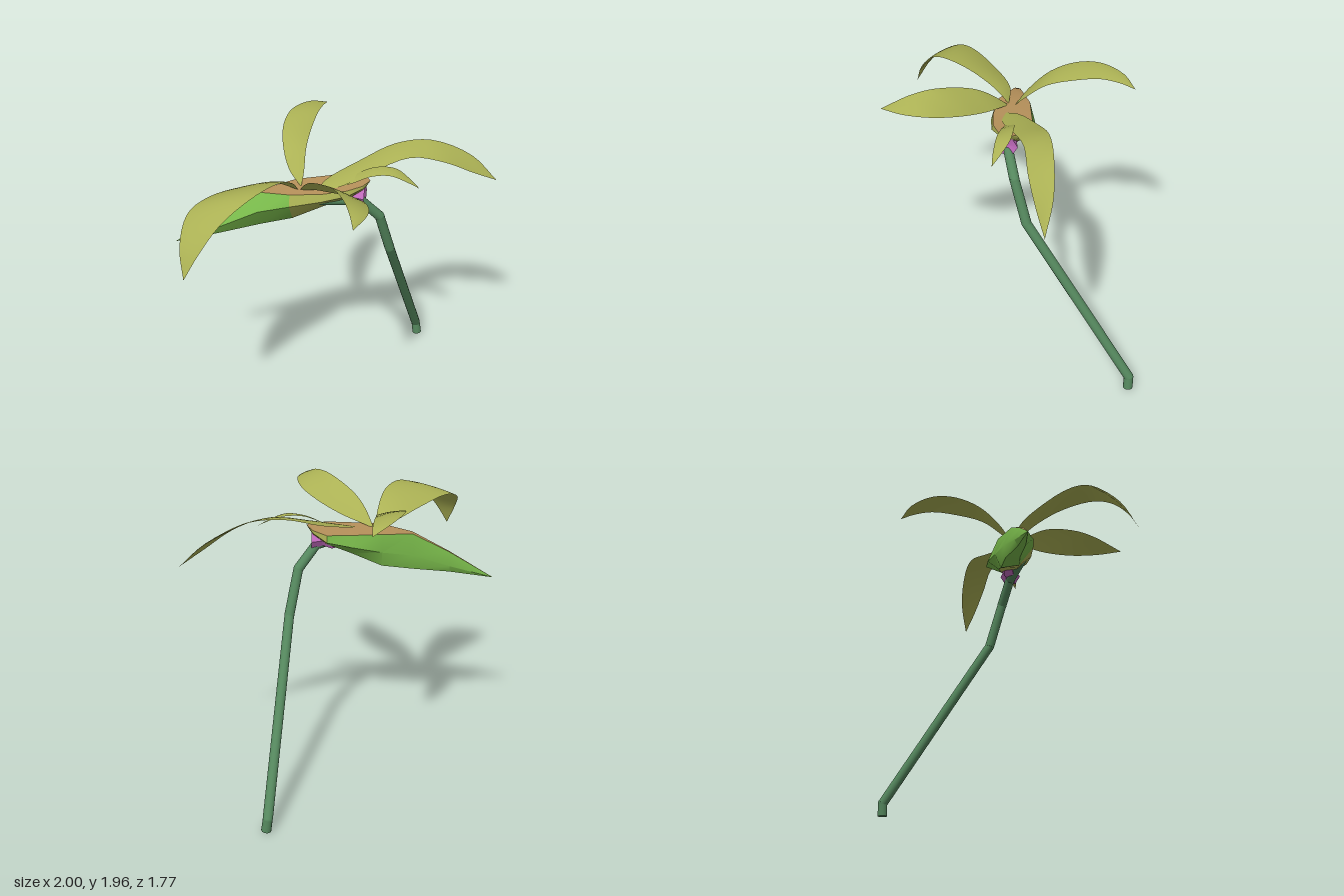
import * as THREE from 'three';
import { toCreasedNormals } from 'three/addons/utils/BufferGeometryUtils.js';

const material = (name, color, side = THREE.FrontSide) => {
  const m = new THREE.MeshStandardMaterial({ color, side });
  m.name = name;
  return m;
};
const V = (p) => new THREE.Vector3(...p);

// Surface from a list of points and triangle indices
function surface(points, index, crease) {
  const g = new THREE.BufferGeometry();
  g.setAttribute('position', new THREE.Float32BufferAttribute(points.flat(), 3));
  g.setIndex(index);
  g.computeVertexNormals();
  return crease ? toCreasedNormals(g, crease) : g;
}

// Curved petal lofted between two edges that share a base and a tip
function petalGeometry(base, tip, left, right) {
  const a = new THREE.CatmullRomCurve3([base, ...left, tip].map(V));
  const b = new THREE.CatmullRomCurve3([base, ...right, tip].map(V));
  const rows = 24, cols = 6, points = [], index = [];
  for (let i = 0; i <= rows; i++) {
    const p = a.getPoint(i / rows), q = b.getPoint(i / rows);
    const width = p.distanceTo(q);
    for (let j = 0; j <= cols; j++) {
      const s = j / cols, v = p.clone().lerp(q, s);
      v.y += width * 0.2 * s * (1 - s);
      points.push(v.toArray());
      if (i < rows && j < cols) {
        const k = i * (cols + 1) + j, n = k + cols + 1;
        index.push(k, n, k + 1, k + 1, n, n + 1);
      }
    }
  }
  return surface(points, index);
}

export function createModel() {
  const model = new THREE.Group();
  const olive = material('petal olive', 0xabb154, THREE.DoubleSide);
  const green = material('leaf green', 0x78b84a);
  const tan = material('tan', 0xb9935c);
  const stemGreen = material('stem green', 0x55885e);
  const pink = material('calyx pink', 0xc46cc0, THREE.DoubleSide);
  const add = (name, geometry, mat, parent = model) => {
    const mesh = new THREE.Mesh(geometry, mat);
    mesh.name = name;
    parent.add(mesh);
    return mesh;
  };

  // Bent stem: straight rods with rounded joints
  const stem = new THREE.Group();
  stem.name = 'stem';
  model.add(stem);
  const path = [[0.487, 0.005, -0.85], [0.475, 0.09, -0.85], [0.345, 1.165, -0.125],
    [0.285, 1.45, -0.035], [0.17, 1.59, 0.03], [-0.1, 1.63, 0.15]].map(V);
  for (let i = 0; i < path.length - 1; i++) {
    const dir = path[i + 1].clone().sub(path[i]);
    const rod = add('stemRod', new THREE.CylinderGeometry(0.031, 0.032, dir.length(), 16), stemGreen, stem);
    rod.position.copy(path[i]).addScaledVector(dir, 0.5);
    rod.quaternion.setFromUnitVectors(new THREE.Vector3(0, 1, 0), dir.normalize());
    if (i > 0) add('stemJoint', new THREE.SphereGeometry(0.0315, 16, 10), stemGreen, stem).position.copy(path[i]);
  }

  // Pod: six-cornered sections [z, y] along x, starting at the top back edge
  const point = (z, y) => Array(6).fill([z, y]);
  const sections = [
    [-1, point(0.22, 1.28)],
    [-0.7, [[0.155, 1.485], [0.175, 1.485], [0.222, 1.42], [0.19, 1.36], [0.14, 1.355], [0.12, 1.40]]],
    [-0.45, [[0.085, 1.64], [0.13, 1.64], [0.225, 1.55], [0.14, 1.42], [0.045, 1.415], [0.035, 1.51]]],
    [-0.25, [[-0.02, 1.675], [0.19, 1.672], [0.215, 1.60], [0.12, 1.47], [0, 1.455], [-0.04, 1.56]]],
    [-0.05, [[-0.075, 1.69], [0.175, 1.687], [0.19, 1.64], [0.1, 1.565], [-0.03, 1.555], [-0.105, 1.62]]],
    [0.1, [[-0.12, 1.705], [0.14, 1.705], [0.15, 1.67], [0.08, 1.62], [-0.02, 1.61], [-0.13, 1.66]]],
    [0.19, [[-0.06, 1.718], [0.085, 1.718], [0.088, 1.70], [0.05, 1.67], [0, 1.67], [-0.06, 1.70]]],
    [0.23, point(0.02, 1.727)],
  ];
  const points = sections.flatMap(([x, ring]) => ring.map(([z, y]) => [x, y, z]));
  const faces = { top: [], shell: [], blush: [] };
  for (let i = 0; i < sections.length - 1; i++) {
    for (let j = 0; j < 6; j++) {
      const a = i * 6 + j, b = i * 6 + (j + 1) % 6;
      const part = j === 0 ? 'top' : i >= 5 || (i >= 3 && j <= 3) ? 'blush' : 'shell';
      faces[part].push(a, b, a + 6, b, b + 6, a + 6);
    }
  }
  add('podTop', surface(points, faces.top, 0.8), tan);
  add('podShell', surface(points, faces.shell, 0.8), green);
  add('podBlush', surface(points, faces.blush, 0.8), olive);

  // Faceted calyx where the stem meets the pod
  const profile = [[0.045, 0], [0.065, 0.07], [0.045, 0.13], [0.068, 0.2], [0, 0.185]];
  const calyx = add('calyx', toCreasedNormals(
    new THREE.LatheGeometry(profile.map(([r, y]) => new THREE.Vector2(r, y)), 6), 0.4), pink);
  calyx.rotation.z = -Math.PI / 2;
  calyx.position.set(0, 1.63, 0.03);

  // Petals
  add('frontRightPetal', petalGeometry([-0.21, 1.67, 0.11], [-0.745, 1.43, 0.885],
    [[-0.34, 1.715, 0.13], [-0.5, 1.755, 0.27], [-0.69, 1.77, 0.48], [-0.78, 1.72, 0.61], [-0.788, 1.59, 0.78]],
    [[-0.225, 1.76, 0.2], [-0.28, 1.845, 0.38], [-0.4, 1.84, 0.59], [-0.55, 1.73, 0.73], [-0.66, 1.58, 0.83]]), olive);
  add('frontLeftPetal', petalGeometry([-0.2, 1.67, 0.11], [0.245, 1.825, 0.81],
    [[-0.145, 1.77, 0.22], [-0.075, 1.84, 0.32], [0.085, 1.91, 0.51], [0.17, 1.90, 0.64], [0.215, 1.865, 0.73]],
    [[-0.1, 1.7, 0.15], [0, 1.725, 0.21], [0.14, 1.77, 0.32], [0.27, 1.82, 0.48], [0.305, 1.84, 0.65]]), olive);
  add('longLeftPetal', petalGeometry([-0.085, 1.685, 0.1], [0.997, 1.6, -0.365],
    [[-0.05, 1.71, 0.015], [0.14, 1.78, -0.145], [0.35, 1.86, -0.26], [0.57, 1.868, -0.33], [0.83, 1.755, -0.38]],
    [[0.03, 1.7, 0.1], [0.22, 1.765, 0], [0.46, 1.83, -0.13], [0.67, 1.78, -0.2], [0.85, 1.68, -0.285]]), olive);
  add('backPetal', petalGeometry([-0.2, 1.67, 0.07], [-0.165, 1.912, -0.695],
    [[-0.29, 1.75, 0], [-0.355, 1.86, -0.13], [-0.38, 1.93, -0.29], [-0.355, 1.96, -0.45], [-0.265, 1.95, -0.61]],
    [[-0.195, 1.74, 0], [-0.205, 1.84, -0.13], [-0.2, 1.91, -0.33], [-0.185, 1.945, -0.48], [-0.17, 1.94, -0.6]]), olive);
  add('smallLeftPetal', petalGeometry([0, 1.68, 0.07], [0.54, 1.712, 0.045],
    [[0.12, 1.745, 0], [0.25, 1.80, -0.025], [0.38, 1.80, -0.03], [0.47, 1.758, 0.005]],
    [[0.12, 1.72, 0.065], [0.24, 1.775, 0.06], [0.36, 1.79, 0.06], [0.47, 1.75, 0.055]]), olive);

  return model;
}
